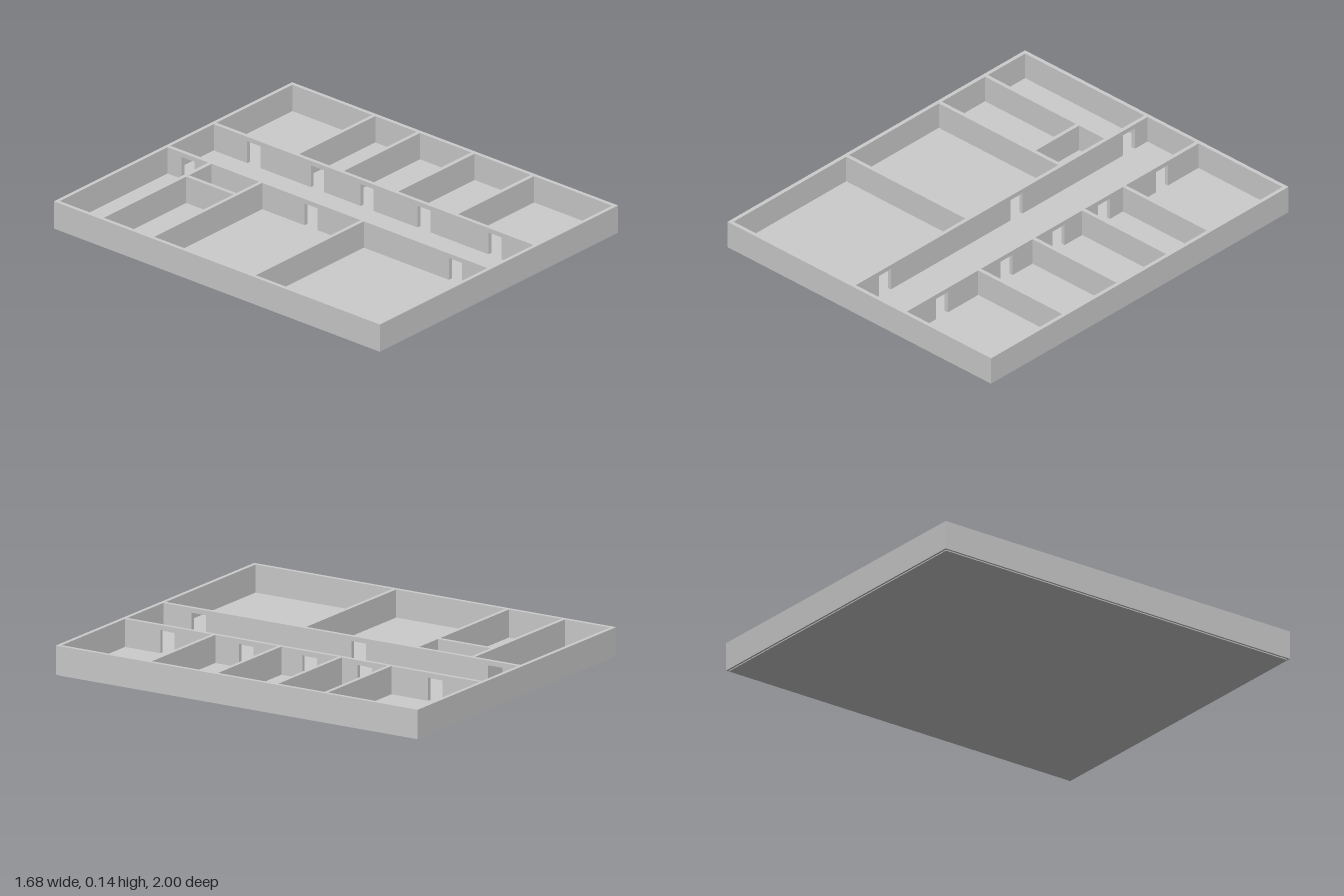
import * as THREE from 'three';

const T = 0.02;              // wall thickness
const BASE = 0.005, TOP = 0.145;
const HX = 0.84, HZ = 1;     // outer half sizes
const DOOR_W = 0.08, DOOR_TOP = 0.122;
const material = new THREE.MeshStandardMaterial({ color: 0xcccccc, flatShading: true });

function add(group, name, geometry) {
  const mesh = new THREE.Mesh(geometry, material);
  mesh.name = name;
  group.add(mesh);
  return mesh;
}

// Solid straight wall between two plan corners
function wall(group, name, x0, x1, z0, z1) {
  const geo = new THREE.BoxGeometry(x1 - x0, TOP - BASE, z1 - z0);
  add(group, name, geo).position.set((x0 + x1) / 2, (BASE + TOP) / 2, (z0 + z1) / 2);
}

// Wall running along z, notched by doorways centred at the given z values
function doorWall(group, name, x, doors) {
  const end = HZ - T;
  const s = new THREE.Shape();
  s.moveTo(-end, BASE);
  for (const z of doors) {
    s.lineTo(z - DOOR_W / 2, BASE);
    s.lineTo(z - DOOR_W / 2, DOOR_TOP);
    s.lineTo(z + DOOR_W / 2, DOOR_TOP);
    s.lineTo(z + DOOR_W / 2, BASE);
  }
  s.lineTo(end, BASE);
  s.lineTo(end, TOP);
  s.lineTo(-end, TOP);
  s.closePath();
  const geo = new THREE.ExtrudeGeometry(s, { depth: T, bevelEnabled: false });
  geo.translate(0, 0, -T / 2);
  geo.rotateY(-Math.PI / 2); // shape x becomes +z
  add(group, name, geo).position.x = x;
}

function rect(target, hx, hz) {
  target.moveTo(-hx, -hz);
  target.lineTo(hx, -hz);
  target.lineTo(hx, hz);
  target.lineTo(-hx, hz);
  target.closePath();
  return target;
}

export function createModel() {
  const model = new THREE.Group();
  model.name = 'floorPlan';

  // Floor slab reaching the centre line of the outer walls
  add(model, 'floor', new THREE.BoxGeometry(2 * HX - T, 0.01, 2 * HZ - T)).position.y = 0.005;

  // Outer walls as one ring
  const ring = rect(new THREE.Shape(), HX, HZ);
  ring.holes.push(rect(new THREE.Path(), HX - T, HZ - T));
  const outer = new THREE.ExtrudeGeometry(ring, { depth: TOP - BASE, bevelEnabled: false });
  outer.rotateX(-Math.PI / 2);
  add(model, 'outerWalls', outer).position.y = BASE;

  // Corridor walls with doorways
  doorWall(model, 'corridorWallRight', -0.05, [-0.855, -0.1, 0.785]);
  doorWall(model, 'corridorWallLeft', 0.275, [-0.735, -0.345, -0.04, 0.31, 0.745]);

  // Partitions between rooms
  for (const z of [-0.72, -0.41, 0.213])
    wall(model, 'partitionRight', -HX + T, -0.06, z - T / 2, z + T / 2);
  for (const z of [-0.482, -0.208, 0.126, 0.491])
    wall(model, 'partitionLeft', 0.285, HX - T, z - T / 2, z + T / 2);

  // Short wall closing off the small room
  wall(model, 'smallRoomWall', -0.24, -0.22, -0.71, -0.42);

  return model;
}
